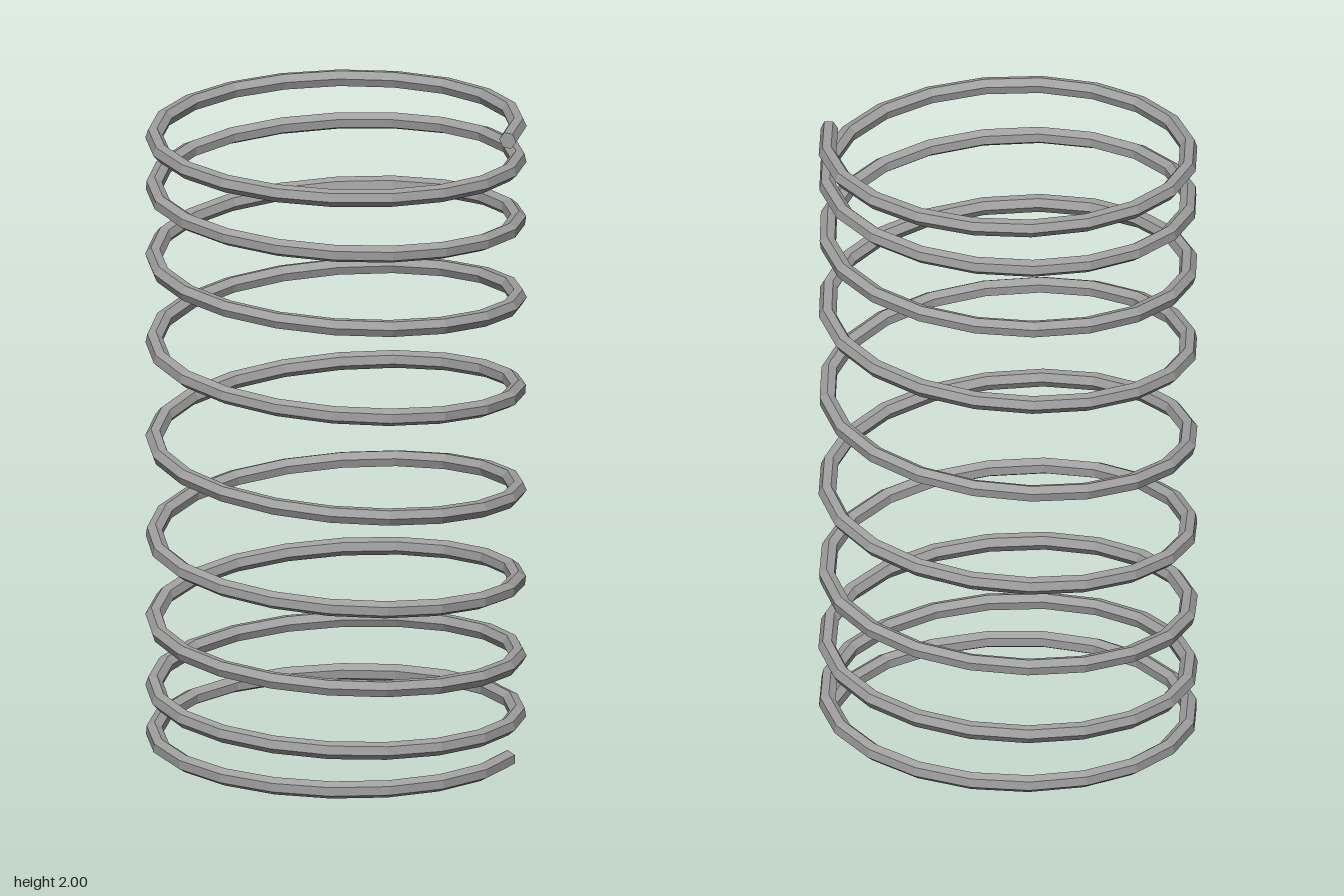
import * as THREE from 'three';

const TURNS = 9, SEGMENTS_PER_TURN = 20, SIDES = 6;
const COIL_RADIUS = 0.551, WIRE_RADIUS = 0.027;
const BASE = 0.0235, RISE = 1.95;

// Helix whose pitch is tight at both ends and widest in the middle
class CoilCurve extends THREE.Curve {
  getPoint(t, target = new THREE.Vector3()) {
    const ease = (u) => 0.5 * Math.pow(Math.max(0, 2 * u), 1.5);
    const rise = t < 0.5 ? ease(t) : 1 - ease(1 - t);
    const angle = t * TURNS * Math.PI * 2;
    return target.set(
      COIL_RADIUS * Math.cos(angle),
      BASE + RISE * rise,
      COIL_RADIUS * Math.sin(angle)
    );
  }
}

export function createModel() {
  const steel = new THREE.MeshStandardMaterial({ color: 0xa0a0a0, flatShading: true });
  steel.name = 'steel grey';

  const spring = new THREE.Group();
  spring.name = 'coilSpring';

  // Wire swept along the coil
  const curve = new CoilCurve();
  const tube = new THREE.TubeGeometry(curve, TURNS * SEGMENTS_PER_TURN, WIRE_RADIUS, SIDES, false);
  const wire = new THREE.Mesh(tube, steel);
  wire.name = 'coilWire';
  spring.add(wire);

  // Flat cut faces closing both wire ends
  const addCap = (name, index, t, direction) => {
    const basis = new THREE.Matrix4().makeBasis(
      tube.normals[index],
      tube.binormals[index].clone().multiplyScalar(direction),
      tube.tangents[index].clone().multiplyScalar(direction)
    );
    basis.setPosition(curve.getPointAt(t));
    const cap = new THREE.Mesh(new THREE.CircleGeometry(WIRE_RADIUS, SIDES).applyMatrix4(basis), steel);
    cap.name = name;
    spring.add(cap);
  };
  addCap('bottomWireEnd', 0, 0, -1);
  addCap('topWireEnd', TURNS * SEGMENTS_PER_TURN, 1, 1);

  return spring;
}
